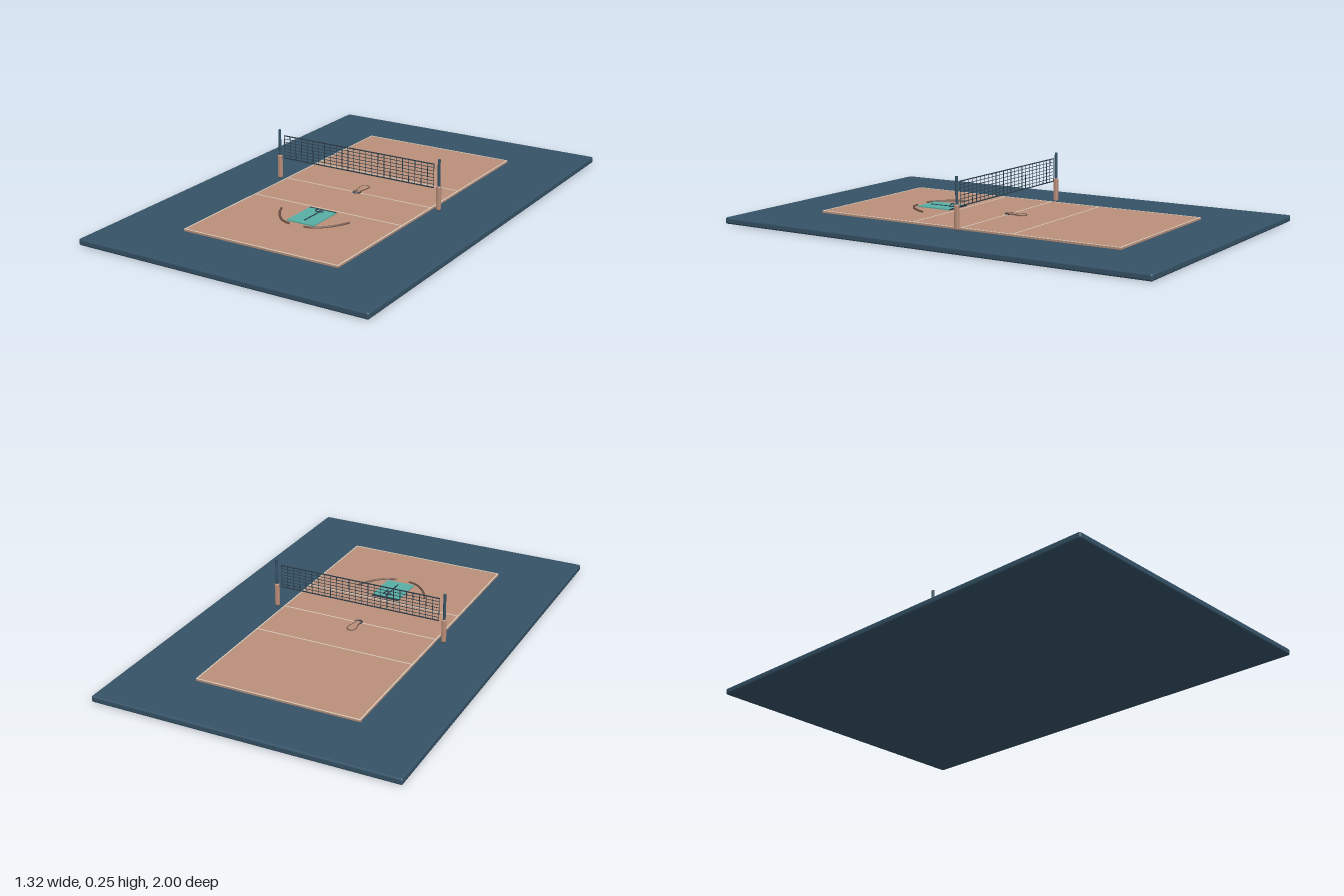
import * as THREE from 'three';
import { RoundedBoxGeometry } from 'three/addons/geometries/RoundedBoxGeometry.js';

const mat = (name, color) => {
  const m = new THREE.MeshStandardMaterial({ color });
  m.name = name;
  return m;
};

export function createModel() {
  const navy = mat('navy', 0x355266);
  const clay = mat('clay', 0xbb8f7a);
  const cream = mat('cream', 0xdccfbd);
  const teal = mat('teal', 0x58b0a5);
  const brown = mat('brown', 0x6b5146);
  const dark = mat('dark slate', 0x2c3d49);

  const model = new THREE.Group();
  model.name = 'volleyballCourt';
  const add = (name, geo, material, x, y, z, parent = model) => {
    const m = new THREE.Mesh(geo, material);
    m.name = name;
    m.position.set(x, y, z);
    parent.add(m);
    return m;
  };
  const box = (name, w, h, d, material, x, y, z, parent) =>
    add(name, new THREE.BoxGeometry(w, h, d), material, x, y, z, parent);

  // Surround slab and playing surface
  add('surround', new RoundedBoxGeometry(1.32, 0.028, 2, 3, 0.008), navy, 0, 0.014, 0);
  box('court', 0.72, 0.009, 1.44, clay, 0, 0.0315, 0);

  // Painted boundary, attack and centre lines
  for (const s of [-1, 1]) {
    box('sideLine', 0.005, 0.002, 1.44, cream, s * 0.3575, 0.0365, 0);
    box('endLine', 0.72, 0.002, 0.005, cream, 0, 0.0365, s * 0.7175);
    box('attackLine', 0.71, 0.002, 0.005, cream, 0, 0.0365, s * 0.24);
  }
  box('centreLine', 0.71, 0.002, 0.005, cream, 0, 0.0365, 0);

  // Posts with padded sleeves
  for (const s of [-1, 1]) {
    add('post', new THREE.CylinderGeometry(0.006, 0.006, 0.224, 16), navy, s * 0.392, 0.14, 0);
    add('postPad', new RoundedBoxGeometry(0.019, 0.104, 0.019, 3, 0.006), clay, s * 0.392, 0.086, 0);
  }

  // Net: cords in a grid with heavier top and bottom bands
  const net = new THREE.Group();
  net.name = 'net';
  model.add(net);
  const cols = 25, rows = 7;
  for (let i = 0; i <= cols; i++)
    box('verticalCord', 0.002, 0.104, 0.002, dark, -0.368 + (0.736 * i) / cols, 0.177, 0, net);
  for (let i = 0; i <= rows; i++) {
    const t = i === 0 || i === rows ? 0.004 : 0.002;
    box('horizontalCord', 0.738, t, t, dark, 0, 0.127 + (0.101 * i) / rows, 0, net);
  }

  // Flat paddle-shaped inlay behind the net, with a raised rim
  const outline = new THREE.CatmullRomCurve3(
    [[-0.011, 0], [-0.013, -0.03], [-0.019, -0.06], [-0.014, -0.08], [0, -0.086],
      [0.014, -0.08], [0.019, -0.06], [0.013, -0.03], [0.011, 0]]
      .map(([x, z]) => new THREE.Vector3(x, 0, z)), true);
  const shape = new THREE.Shape(outline.getPoints(40).map(p => new THREE.Vector2(p.x, -p.z)));
  const inlay = new THREE.ExtrudeGeometry(shape, { depth: 0.005, bevelEnabled: false }).rotateX(-Math.PI / 2);
  add('inlay', inlay, clay, 0, 0.036, 0);
  add('inlayRim', new THREE.TubeGeometry(outline, 64, 0.002, 6, true), brown, 0, 0.041, 0);
  const ring = add('inlayRing', new THREE.TorusGeometry(0.016, 0.0025, 8, 32), dark, 0, 0.039, 0);
  ring.rotation.x = Math.PI / 2;

  // Teal mat with edge bar, centre strip and small upright arch
  box('mat', 0.128, 0.005, 0.168, teal, -0.002, 0.0385, 0.346);
  box('matBar', 0.128, 0.005, 0.007, dark, -0.002, 0.0395, 0.262);
  box('matStrip', 0.005, 0.003, 0.125, dark, 0, 0.042, 0.34);
  add('arch', new THREE.TorusGeometry(0.019, 0.0025, 8, 24, Math.PI), dark, 0, 0.036, 0.292);
  add('archDome', new THREE.CylinderGeometry(0.015, 0.015, 0.006, 24, 1, false, Math.PI / 2, Math.PI)
    .rotateX(-Math.PI / 2), teal, 0, 0.038, 0.292);
  for (const s of [-1, 1]) {
    const mark = box('arrowMark', 0.003, 0.003, 0.02, dark, s * 0.006, 0.042, 0.288);
    mark.rotation.y = s * 0.5;
  }

  // Curved rails either side of the mat
  for (const s of [-1, 1]) {
    const curve = new THREE.CatmullRomCurve3(
      [[0.164, 0.325], [0.142, 0.37], [0.108, 0.415], [0.07, 0.445], [0.032, 0.456]]
        .map(([x, z]) => new THREE.Vector3(s * x, 0, z)));
    add('curvedRail', new THREE.TubeGeometry(curve, 32, 0.005, 8), brown, 0, 0.038, 0);
  }
  return model;
}
